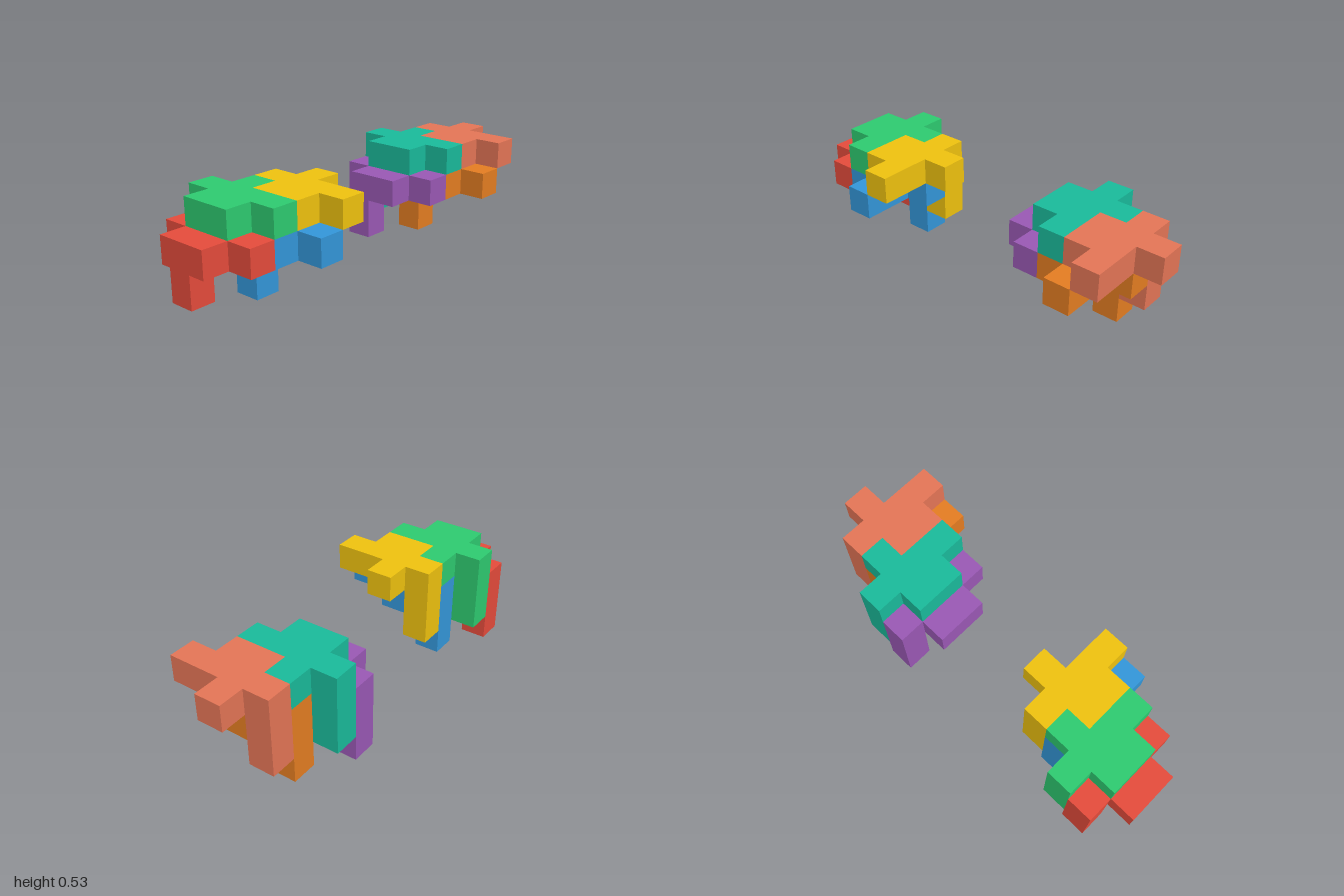
import * as THREE from 'three';
import { mergeGeometries } from 'three/addons/utils/BufferGeometryUtils.js';

const U = 2 / 15; // edge of one cube

// Plan outline of the flat slab of a piece, in cubes (x, z)
const OUTLINE = [
  [1, 0], [2, 0], [2, 1], [3, 1], [3, 2], [2, 2],
  [2, 4], [1, 4], [1, 3], [0, 3], [0, 1], [1, 1],
];

// One puzzle piece: a one-cube-thick slab with a two-cube leg under its back arm
function pieceGeometry() {
  const shape = new THREE.Shape(OUTLINE.map(([x, z]) => new THREE.Vector2(x, -z)));
  const slab = new THREE.ExtrudeGeometry(shape, { depth: 1, bevelEnabled: false })
    .rotateX(-Math.PI / 2)
    .toNonIndexed();
  const leg = new THREE.BoxGeometry(1, 2, 1).translate(1.5, -1, 0.5).toNonIndexed();
  return mergeGeometries([slab, leg]).scale(U, U, U);
}

// Place of each piece within a cluster, in cubes
const PLACES = [
  { name: 'lowerBackPiece', at: [0, 2, 0] },
  { name: 'upperBackPiece', at: [1, 3, 0] },
  { name: 'lowerFrontPiece', at: [2, 2, 1] },
  { name: 'upperFrontPiece', at: [3, 3, 1] },
];

// Two identical interlocked clusters, differing only in colour
const CLUSTERS = [
  { name: 'rightCluster', x: -7.5, colors: [0xe74c3c, 0x2ecc71, 0x3498db, 0xf1c40f] },
  { name: 'leftCluster', x: 1.5, colors: [0x9b59b6, 0x1abc9c, 0xe67e22, 0xe67657] },
];

export function createModel() {
  const model = new THREE.Group();
  model.name = 'interlockingCubePuzzle';
  const geometry = pieceGeometry();

  for (const { name, x, colors } of CLUSTERS) {
    const cluster = new THREE.Group();
    cluster.name = name;
    cluster.position.set(x * U, 0, -2.5 * U);
    PLACES.forEach((place, i) => {
      const material = new THREE.MeshStandardMaterial({ color: colors[i] });
      const piece = new THREE.Mesh(geometry, material);
      piece.name = place.name;
      piece.position.set(...place.at).multiplyScalar(U);
      cluster.add(piece);
    });
    model.add(cluster);
  }
  return model;
}
